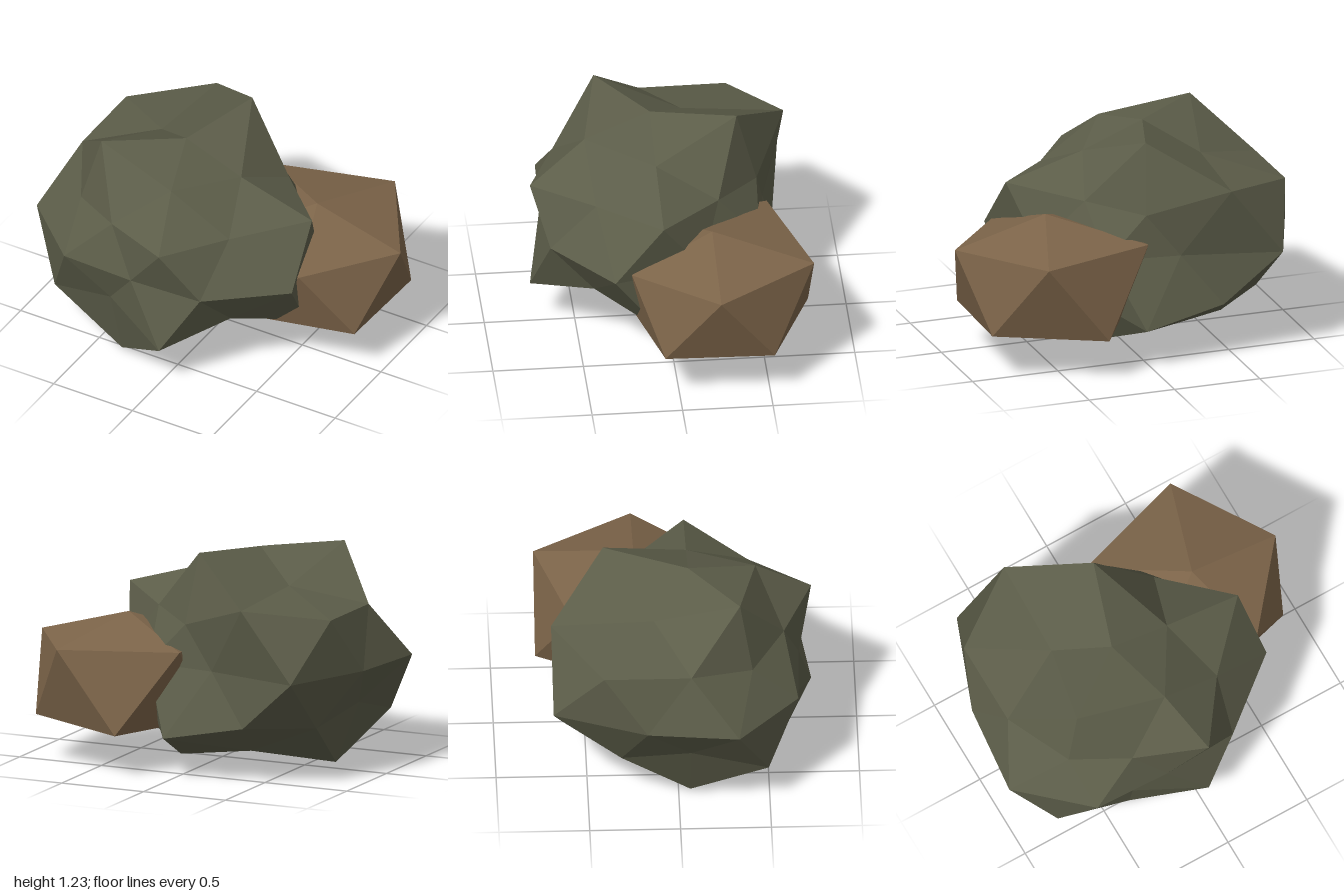
import * as THREE from 'three';

const SQUASH = 0.79; // rocks are flattened vertically
const RAD = Math.PI / 180;

// Point at a compass angle (from +z towards +x), distance h out, rising by slope * h
const polar = (deg, h, slope) => [
  h * Math.sin(deg * RAD), h * slope * SQUASH, h * Math.cos(deg * RAD),
];

// Ring of points, evenly spaced from a start angle, one distance each
const ring = (start, slope, hs) =>
  hs.map((h, i) => polar(start + (i * 360) / hs.length, h, slope));

function rockMesh(name, triangles, center, material) {
  const geo = new THREE.BufferGeometry();
  geo.setAttribute('position', new THREE.Float32BufferAttribute(triangles.flat(2), 3));
  geo.computeVertexNormals();
  const mesh = new THREE.Mesh(geo, material);
  mesh.name = name;
  mesh.position.set(...center);
  return mesh;
}

// One half of the 42-point boulder: pole, inner ring, main ring, between ring, equator
function boulderHalf(sign, start, pole, inner, main, between, equator) {
  const P = [0, sign * pole, 0];
  const A = ring(start, sign * 1.618, inner);
  const U = ring(start, sign * 0.5, main);
  const B = ring(start + 36, sign * 0.618, between);
  const E = (i) => equator[i % 10];
  const shift = sign > 0 ? 0 : 1;
  const tris = [];
  for (let k = 0; k < 5; k++) {
    const n = (k + 1) % 5;
    const e = 2 * k + shift;
    tris.push(
      [P, A[k], A[n]],
      [A[k], U[k], B[k]], [A[k], B[k], A[n]], [A[n], B[k], U[n]],
      [U[k], E(e), E(e + 1)], [U[k], E(e + 1), B[k]],
      [B[k], E(e + 1), E(e + 2)], [B[k], E(e + 2), U[n]],
    );
  }
  return sign > 0 ? tris : tris.map(([a, b, c]) => [a, c, b]);
}

// 12-point stone: two poles and two staggered rings
function stoneTriangles(top, upper, lower, bottom) {
  const T = [0, top, 0], D = [0, -bottom, 0];
  const U = ring(18, 0.5, upper);
  const L = ring(54, -0.5, lower);
  const tris = [];
  for (let k = 0; k < 5; k++) {
    const n = (k + 1) % 5;
    tris.push([T, U[k], U[n]], [U[k], L[k], U[n]], [U[n], L[k], L[n]], [D, L[n], L[k]]);
  }
  return tris;
}

export function createModel() {
  const green = new THREE.MeshStandardMaterial({ color: 0x5c5d49, flatShading: true });
  green.name = 'mossy green';
  const brown = new THREE.MeshStandardMaterial({ color: 0x7c6449, flatShading: true });
  brown.name = 'earth brown';

  const model = new THREE.Group();
  model.name = 'rocks';

  // Large boulder
  const equator = ring(0, 0,
    [0.61, 0.73, 0.87, 0.73, 0.7, 0.62, 0.934, 0.785, 0.841, 0.735]);
  const boulder = [
    ...boulderHalf(1, 18, 0.585,
      [0.394, 0.35, 0.488, 0.333, 0.469],
      [0.72, 0.8, 0.6, 0.818, 0.582],
      [0.582, 0.569, 0.8, 0.66, 0.55], equator),
    ...boulderHalf(-1, 54, 0.51,
      [0.32, 0.445, 0.38, 0.46, 0.475],
      [0.604, 0.62, 0.73, 0.6, 0.56],
      [0.758, 0.775, 0.65, 0.727, 0.72], equator),
  ];
  model.add(rockMesh('largeBoulder', boulder, [-0.2, 0.6, 0.065], green));

  // Small stone leaning into its side
  const stone = stoneTriangles(0.355,
    [0.481, 0.53, 0.574, 0.59, 0.5],
    [0.505, 0.52, 0.574, 0.5, 0.47], 0.3);
  model.add(rockMesh('smallStone', stone, [0.47, 0.455, -0.215], brown));

  return model;
}
